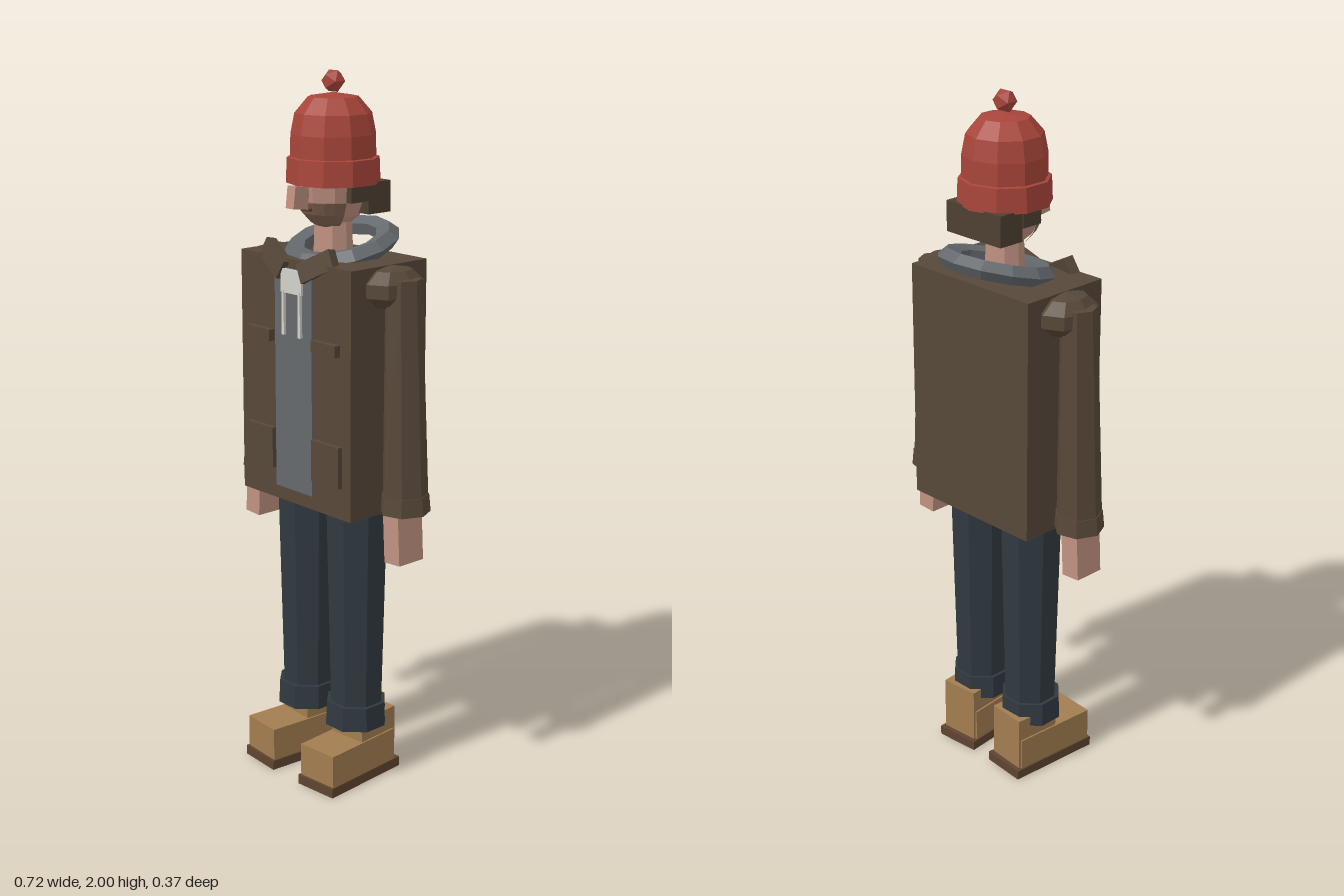
import * as THREE from 'three';

const mat = (name, color) => {
  const m = new THREE.MeshStandardMaterial({ color, flatShading: true });
  m.name = name;
  return m;
};

export function createModel() {
  const root = new THREE.Group();
  root.name = 'standingMan';
  const jacket = mat('jacketBrown', 0x574839), denim = mat('denim', 0x303940);
  const grey = mat('hoodGrey', 0x64696d), boot = mat('bootTan', 0xa27d50);
  const soleMat = mat('soleBrown', 0x5f452f), skin = mat('skin', 0xc09280);
  const hatMat = mat('hatRed', 0xa8453a), light = mat('drawstringWhite', 0xd2d2cb);
  const hairMat = mat('hairBrown', 0x4e4033), stubbleMat = mat('stubble', 0x846654);

  const add = (name, geo, material, pos, rot = [0, 0, 0], parent = root) => {
    const m = new THREE.Mesh(geo, material);
    m.name = name;
    m.position.set(...pos);
    m.rotation.set(...rot);
    parent.add(m);
    return m;
  };
  const box = (name, size, material, pos, rot, parent) =>
    add(name, new THREE.BoxGeometry(...size), material, pos, rot, parent);
  const tube = (name, rTop, rBottom, h, sides, material, pos, rot, parent) =>
    add(name, new THREE.CylinderGeometry(rTop, rBottom, h, sides), material, pos, rot, parent);

  // Torso: jacket with the hooded top showing down the middle
  box('jacketBody', [0.446, 0.685, 0.275], jacket, [0, 1.1625, 0.0025]);
  box('hoodedTopFront', [0.15, 0.62, 0.008], grey, [0, 1.17, 0.142]);
  box('neckOpening', [0.084, 0.065, 0.009], light, [0, 1.447, 0.149]);

  // Hood lying on the shoulders
  const hoodGeo = new THREE.TorusGeometry(0.13, 0.034, 5, 12);
  hoodGeo.scale(1, 1, 0.8);
  add('hood', hoodGeo, grey, [0, 1.53, -0.03], [Math.PI / 2 + 0.26, 0, 0]);

  // Neck and head
  tube('neck', 0.05, 0.055, 0.16, 8, skin, [0, 1.55, 0]);
  const headGeo = new THREE.SphereGeometry(1, 10, 8);
  add('head', headGeo, skin, [0, 1.705, 0]).scale.set(0.098, 0.13, 0.11);
  const jawGeo = new THREE.SphereGeometry(1, 8, 3, 0.1 * Math.PI, 0.8 * Math.PI, 0.62 * Math.PI, 0.28 * Math.PI);
  add('stubble', jawGeo, stubbleMat, [0, 1.703, 0.001]).scale.set(0.101, 0.132, 0.113);
  box('nose', [0.032, 0.06, 0.05], skin, [0, 1.67, 0.127], [-0.12, 0, 0]);
  box('mouth', [0.04, 0.008, 0.008], soleMat, [0, 1.636, 0.097], [0.4, 0, 0]);
  box('backHair', [0.204, 0.085, 0.08], hairMat, [0, 1.662, -0.075]);

  // Knitted hat with a bobble
  const hatProfile = [[0.1, 1.7], [0.128, 1.7], [0.125, 1.768], [0.116, 1.77], [0.115, 1.83],
    [0.104, 1.885], [0.068, 1.927], [0, 1.938]].map(p => new THREE.Vector2(...p));
  add('hat', new THREE.LatheGeometry(hatProfile, 10), hatMat, [0, 0, 0]);
  tube('hatUnderside', 0.105, 0.105, 0.01, 10, hatMat, [0, 1.706, 0]);
  add('hatBobble', new THREE.IcosahedronGeometry(0.033, 0), hatMat, [0, 1.967, 0]);

  for (const s of [-1, 1]) {
    const side = new THREE.Group();
    side.name = s > 0 ? 'leftSide' : 'rightSide';
    root.add(side);

    box('sideburn', [0.02, 0.045, 0.066], hairMat, [s * 0.095, 1.678, -0.003], [0, 0, 0], side);

    // Jacket details
    box('collarFlap', [0.115, 0.055, 0.03], jacket, [s * 0.085, 1.497, 0.132], [-0.2, s * 0.15, s * 0.5], side);
    box('chestPocket', [0.095, 0.032, 0.02], jacket, [s * 0.133, 1.286, 0.149], [0, 0, 0], side);
    box('lowerPocket', [0.11, 0.115, 0.015], jacket, [s * 0.135, 0.967, 0.147], [0, 0, 0], side);
    box('drawstring', [0.009, 0.125, 0.009], light, [s * 0.033, 1.36, 0.15], [0, 0, 0], side);

    // Arm, hanging slightly outwards
    const shoulder = add('shoulder', new THREE.SphereGeometry(1, 8, 5), jacket, [s * 0.235, 1.447, 0], [0, 0, 0], side);
    shoulder.scale.set(0.075, 0.06, 0.098);
    const turn = s * Math.PI / 2;
    const arm = new THREE.Group();
    arm.name = 'arm';
    arm.position.set(s * 0.273, 1.475, 0);
    arm.rotation.z = s * 0.025;
    side.add(arm);
    tube('sleeve', 0.05, 0.064, 0.61, 7, jacket, [0, -0.305, 0], [0, turn, 0], arm).scale.z = 1;
    tube('sleeveCuff', 0.066, 0.07, 0.05, 7, jacket, [0, -0.612, 0], [0, turn, 0], arm);
    box('hand', [0.058, 0.17, 0.09], skin, [0, -0.69, 0.008], [0, 0, s * 0.03], arm);

    // Leg with turned-up trouser cuff
    tube('trouserLeg', 0.092, 0.076, 0.7, 8, denim, [s * 0.102, 0.53, 0.003], [0, Math.PI / 8, 0], side);
    tube('trouserCuff', 0.088, 0.091, 0.07, 8, denim, [s * 0.103, 0.195, 0.006], [0, Math.PI / 8, 0], side);

    // Boot, toe turned out a little
    const foot = new THREE.Group();
    foot.name = 'boot';
    foot.position.x = s * 0.108;
    foot.rotation.y = s * 0.08;
    side.add(foot);
    box('sole', [0.134, 0.028, 0.284], soleMat, [0, 0.014, 0.038], [0, 0, 0], foot);
    box('bootFoot', [0.125, 0.095, 0.258], boot, [0, 0.0755, 0.044], [0, 0, 0], foot);
    box('bootShaft', [0.115, 0.16, 0.14], boot, [0, 0.11, -0.022], [0, 0, 0], foot);
    box('heelTab', [0.11, 0.065, 0.04], boot, [0, 0.156, -0.07], [0, 0, 0], foot);
  }
  return root;
}
